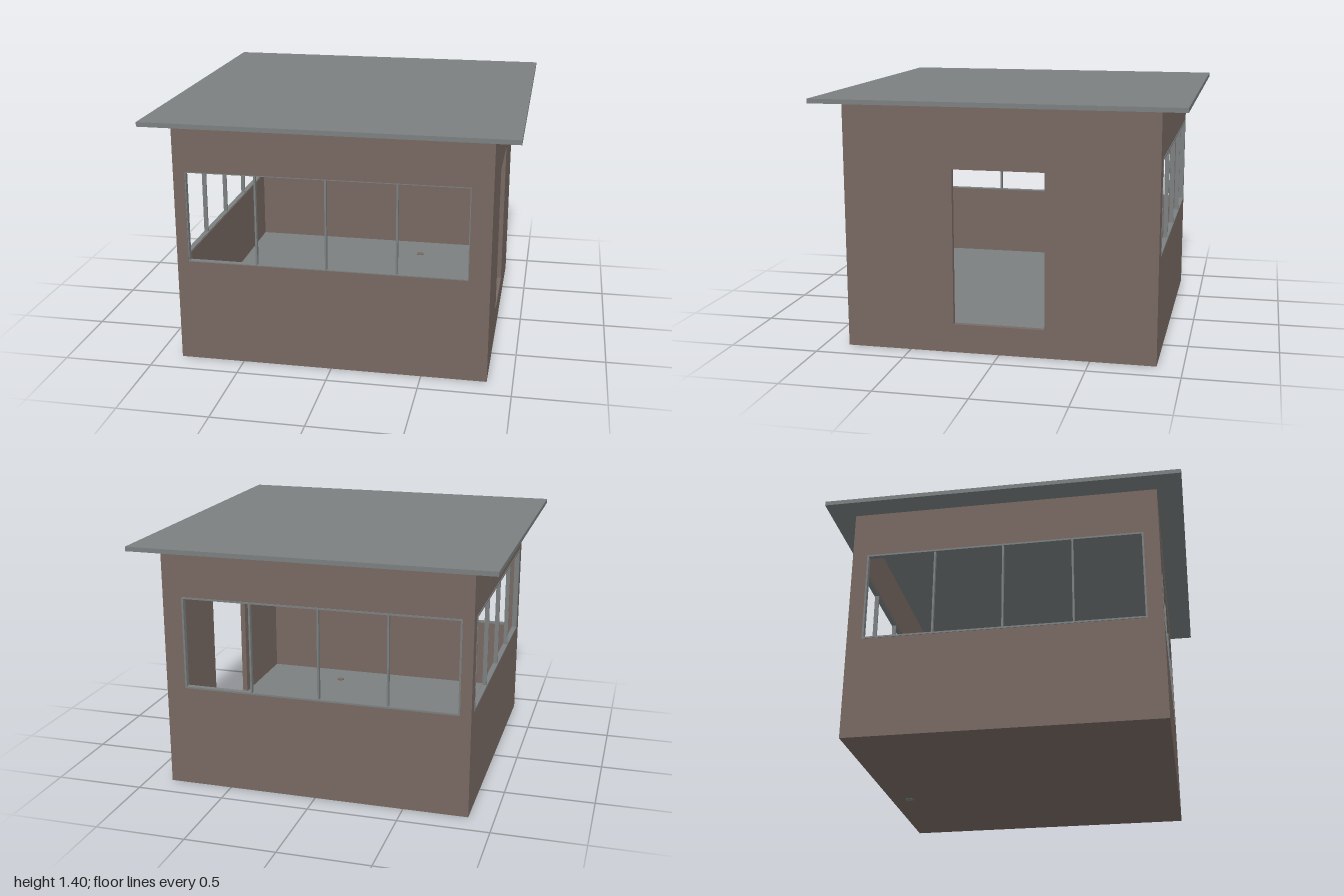
import * as THREE from 'three';

const HALF = 0.86, WALL = 0.03, TOP = 1.37, FLOOR = 0.15;

export function createModel() {
  const model = new THREE.Group();
  model.name = 'cabin';
  const brown = new THREE.MeshStandardMaterial({ name: 'brown wall', color: 0x786963 });
  const grey = new THREE.MeshStandardMaterial({ name: 'grey metal', color: 0x7b8080 });

  const add = (parent, name, geometry, material, x = 0, y = 0, z = 0) => {
    const mesh = new THREE.Mesh(geometry, material);
    mesh.name = name;
    mesh.position.set(x, y, z);
    parent.add(mesh);
    return mesh;
  };
  const box = (parent, name, material, w, h, d, x, y, z) =>
    add(parent, name, new THREE.BoxGeometry(w, h, d), material, x, y, z);

  // Wall panel with one rectangular opening, thickness along local +z
  const wall = (name, half, [x0, x1, y0, y1]) => {
    const group = new THREE.Group();
    group.name = name;
    const shape = new THREE.Shape([
      new THREE.Vector2(-half, 0), new THREE.Vector2(half, 0),
      new THREE.Vector2(half, TOP), new THREE.Vector2(-half, TOP),
    ]);
    shape.holes.push(new THREE.Path([
      new THREE.Vector2(x0, y0), new THREE.Vector2(x0, y1),
      new THREE.Vector2(x1, y1), new THREE.Vector2(x1, y0),
    ]));
    add(group, name + 'Panel',
      new THREE.ExtrudeGeometry(shape, { depth: WALL, bevelEnabled: false }), brown);
    model.add(group);
    return group;
  };

  // Slim frame lining the opening, with three mullions making four panes
  const windowFrame = (group, [x0, x1, y0, y1], z) => {
    const bar = 0.01, cx = (x0 + x1) / 2, cy = (y0 + y1) / 2;
    for (const y of [y0, y1])
      box(group, 'windowRail', grey, x1 - x0 + bar, bar, WALL, cx, y, z);
    for (let i = 0; i <= 4; i++) {
      const depth = i % 4 ? 0.024 : WALL;
      box(group, 'windowMullion', grey, bar, y1 - y0, depth, x0 + (x1 - x0) * i / 4, cy, z);
    }
  };

  const wide = [-0.795, 0.745, 0.58, 1.095];
  const side = [-0.77, 0.77, 0.58, 1.095];
  const door = [-0.253, 0.253, 0.16, 1.02];

  // Front and back walls with wide windows
  const front = wall('frontWall', HALF, wide);
  front.position.z = HALF - WALL;
  windowFrame(front, wide, WALL / 2 - 0.001);

  const back = wall('backWall', HALF, wide);
  back.position.z = -HALF;
  windowFrame(back, wide, WALL / 2 - 0.003);

  // Side walls: doorway on the left, window on the right
  const left = wall('leftWall', HALF - WALL, door);
  left.rotation.y = Math.PI / 2;
  left.position.x = HALF - WALL;

  const right = wall('rightWall', HALF - WALL, side);
  right.rotation.y = Math.PI / 2;
  right.position.x = -HALF;
  windowFrame(right, side, WALL / 2 - 0.003);

  // Base, floor sheet and roof slab
  const inner = 2 * (HALF - WALL);
  box(model, 'base', brown, inner, FLOOR - 0.008, inner, 0, (FLOOR - 0.008) / 2, 0);
  box(model, 'floor', grey, inner, 0.008, inner, 0, FLOOR - 0.004, 0);
  box(model, 'roof', grey, 1.99, 0.025, 2, 0, TOP + 0.0125, 0);

  // Small floor caps and a drain cover beneath
  for (const z of [-0.6, 0.64])
    add(model, 'floorCap', new THREE.CylinderGeometry(0.022, 0.022, 0.006, 16), brown, 0.3, FLOOR + 0.003, z);
  add(model, 'drainCover', new THREE.CylinderGeometry(0.028, 0.028, 0.006, 16), grey, 0.17, 0.002, -0.75);

  return model;
}
